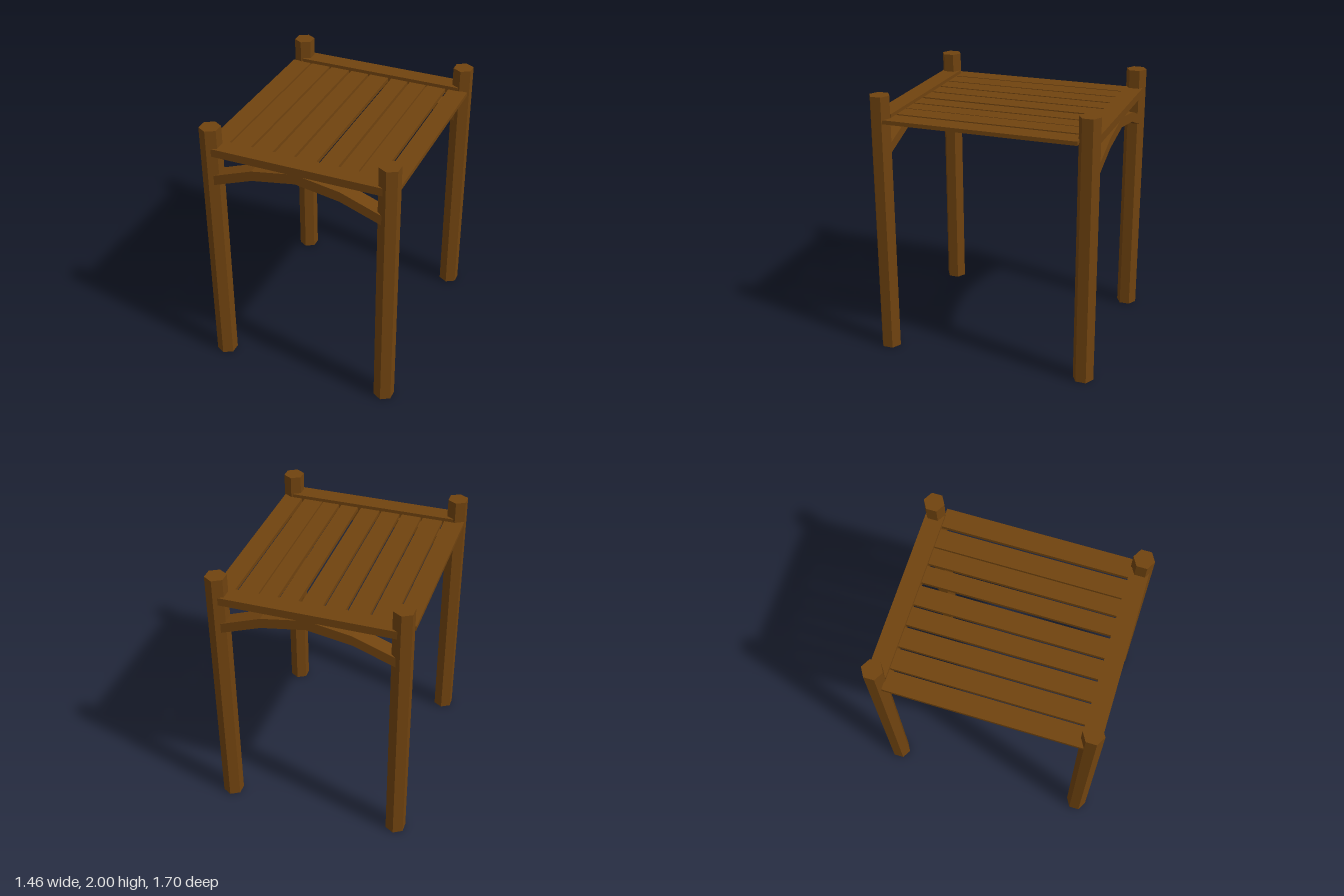
import * as THREE from 'three';

export function createModel() {
  const model = new THREE.Group();
  model.name = 'pergola';
  const wood = new THREE.MeshStandardMaterial({ color: 0x70430f, flatShading: true });
  wood.name = 'brown wood';

  const add = (name, geometry, x, y, z) => {
    const mesh = new THREE.Mesh(geometry, wood);
    mesh.name = name;
    mesh.position.set(x, y, z);
    model.add(mesh);
  };

  // Arched brace: two straight segments on each side of the crest
  const top = [[-0.65, 1.635], [-0.33, 1.752], [0, 1.807], [0.33, 1.752], [0.65, 1.635]];
  const thickness = 0.076;
  const outline = [...top, ...top.map(([x, y]) => [x, y - thickness]).reverse()];
  const archShape = new THREE.Shape(outline.map(([x, y]) => new THREE.Vector2(x, y)));
  const archDepth = 0.12;
  const archGeometry = new THREE.ExtrudeGeometry(archShape, { depth: archDepth, bevelEnabled: false });
  archGeometry.translate(0, 0, -archDepth / 2);

  const postGeometry = new THREE.CylinderGeometry(0.078, 0.078, 2, 6);
  const railGeometry = new THREE.BoxGeometry(1.3, 0.06, 0.138);

  // Front and back frames: hexagonal posts, top rail and brace
  for (const side of [1, -1]) {
    const end = side > 0 ? 'front' : 'back';
    add(end + 'LeftPost', postGeometry, 0.664, 1, side * 0.774);
    add(end + 'RightPost', postGeometry, -0.664, 1, side * 0.774);
    add(end + 'Rail', railGeometry, 0, 1.83, side * 0.767);
    add(end + 'ArchedBrace', archGeometry, 0, 0, side * 0.773);
  }

  // Roof slats, unevenly spaced: left and right edges along x
  const slats = [
    [-0.731, -0.581], [-0.567, -0.414], [-0.398, -0.247], [-0.228, -0.084], [-0.066, 0.085],
    [0.111, 0.246], [0.264, 0.395], [0.405, 0.553], [0.576, 0.725],
  ];
  const zBack = -0.705, zFront = 0.74;
  slats.forEach(([x0, x1], i) => {
    const geometry = new THREE.BoxGeometry(x1 - x0, 0.03, zFront - zBack);
    add('roofSlat' + (i + 1), geometry, (x0 + x1) / 2, 1.819, (zFront + zBack) / 2);
  });

  return model;
}
